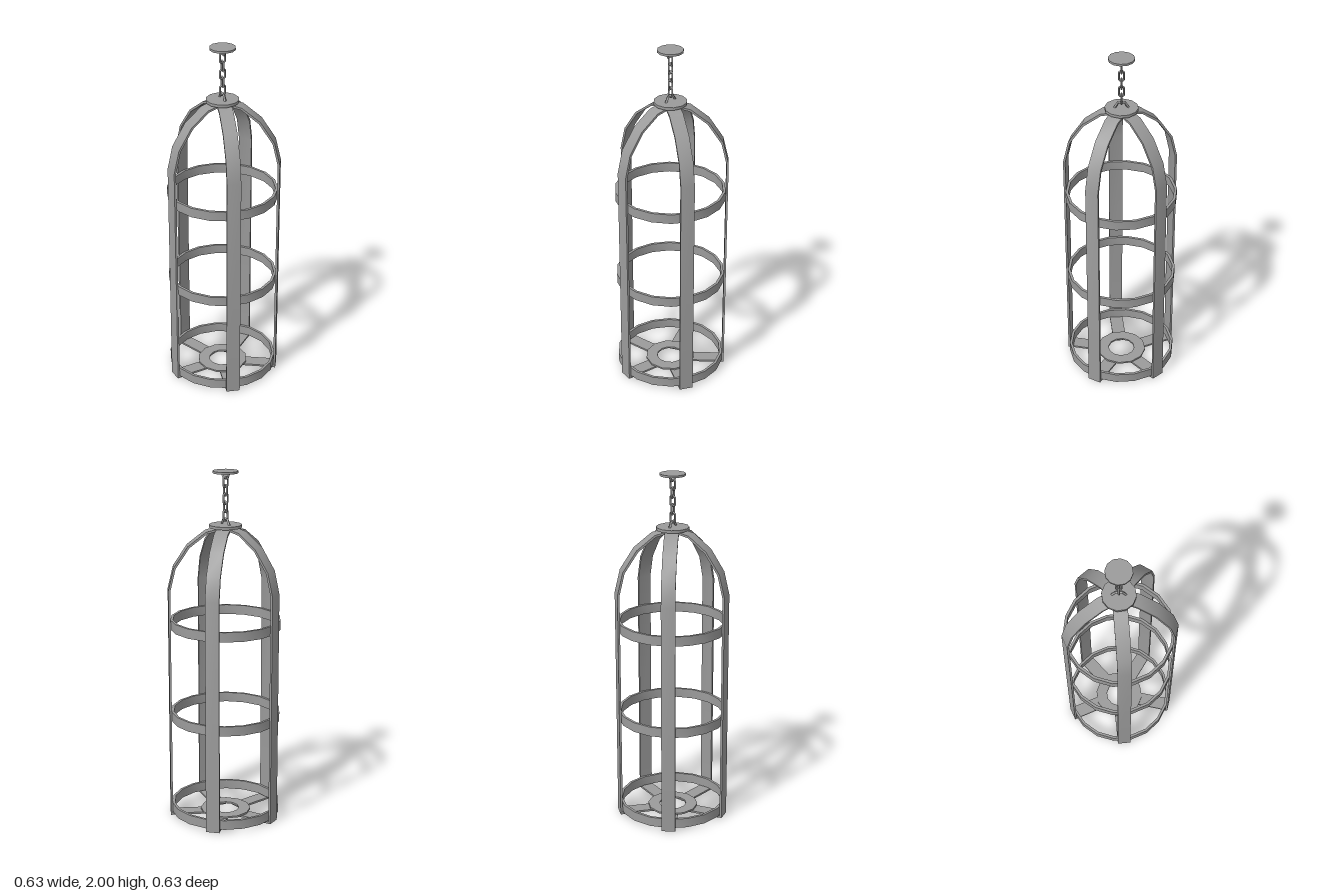
import * as THREE from 'three';
import { toCreasedNormals } from 'three/addons/utils/BufferGeometryUtils.js';

const material = new THREE.MeshStandardMaterial({ color: 0x9b9b9b });
const TURN = THREE.MathUtils.degToRad(6.5); // shared rotation of rings and plates

export function createModel() {
  const model = new THREE.Group();
  model.name = 'hangingCage';
  model.position.set(0.006, 0, -0.006);

  const add = (name, geometry, parent = model) => {
    const mesh = new THREE.Mesh(geometry, material);
    mesh.name = name;
    parent.add(mesh);
    return mesh;
  };

  const polygon = (radius, sides, PathType) => {
    const points = [];
    for (let i = 0; i < sides; i++) {
      const a = -TURN + (i / sides) * Math.PI * 2;
      points.push(new THREE.Vector2(Math.cos(a) * radius, Math.sin(a) * radius));
    }
    return new PathType(points);
  };

  // Flat ring or plate lying level, from y0 to y1
  const ring = (name, outer, inner, sides, y0, y1) => {
    const shape = polygon(outer, sides, THREE.Shape);
    if (inner) shape.holes.push(polygon(inner, sides, THREE.Path));
    const geometry = new THREE.ExtrudeGeometry(shape, { depth: y1 - y0, bevelEnabled: false });
    geometry.rotateX(-Math.PI / 2).translate(0, y0, 0);
    return add(name, toCreasedNormals(geometry, 0.6));
  };

  // Horizontal hoops
  for (const y of [0.016, 0.576, 1.116]) ring('hoop', 0.312, 0.297, 18, y, y + 0.055);

  // Floor ring, top cap and ceiling plate
  ring('floorRing', 0.145, 0.078, 12, 0.011, 0.021);
  ring('topCap', 0.092, 0, 12, 1.688, 1.704);
  ring('ceilingPlate', 0.072, 0, 12, 1.988, 2);

  // Bent strap: floor spoke, upright and dome rib in one profile
  const strapShape = new THREE.Shape([
    [0.085, 0], [0.322, 0], [0.322, 1.34], [0.291, 1.47], [0.212, 1.59], [0.11, 1.669], [0.01, 1.694],
    [0.01, 1.682], [0.105, 1.658], [0.203, 1.581], [0.28, 1.465], [0.31, 1.338], [0.31, 0.011], [0.085, 0.011],
  ].map(([x, y]) => new THREE.Vector2(x, y)));
  const width = 0.078;
  const strap = toCreasedNormals(
    new THREE.ExtrudeGeometry(strapShape, { depth: width, bevelEnabled: false }).translate(0, 0, -width / 2), 0.6);
  for (let i = 0; i < 5; i++) {
    add('strap', strap).rotation.y = -THREE.MathUtils.degToRad(30.5 + 72 * i);
  }

  // Angular anchor loops on the cap and under the ceiling plate
  const loop = toCreasedNormals(new THREE.TorusGeometry(0.035, 0.008, 4, 3, Math.PI).rotateY(Math.PI / 2), 0.6);
  add('capLoop', loop).position.y = 1.704;
  const upperLoop = add('ceilingLoop', loop);
  upperLoop.position.y = 1.99;
  upperLoop.rotation.x = Math.PI;

  // Chain of stretched angular links, alternately turned
  const chain = new THREE.Group();
  chain.name = 'chain';
  model.add(chain);
  const ringLink = new THREE.TorusGeometry(0.015, 0.006, 4, 8).rotateZ(Math.PI / 8);
  const p = ringLink.attributes.position;
  for (let i = 0; i < p.count; i++) p.setY(i, p.getY(i) + Math.sign(p.getY(i)) * 0.015);
  const link = toCreasedNormals(ringLink, 0.6);
  for (let i = 0; i < 5; i++) {
    const mesh = add('chainLink', link, chain);
    mesh.position.y = 1.755 + i * 0.046;
    mesh.rotation.y = i % 2 ? Math.PI / 2 : 0;
  }
  return model;
}
